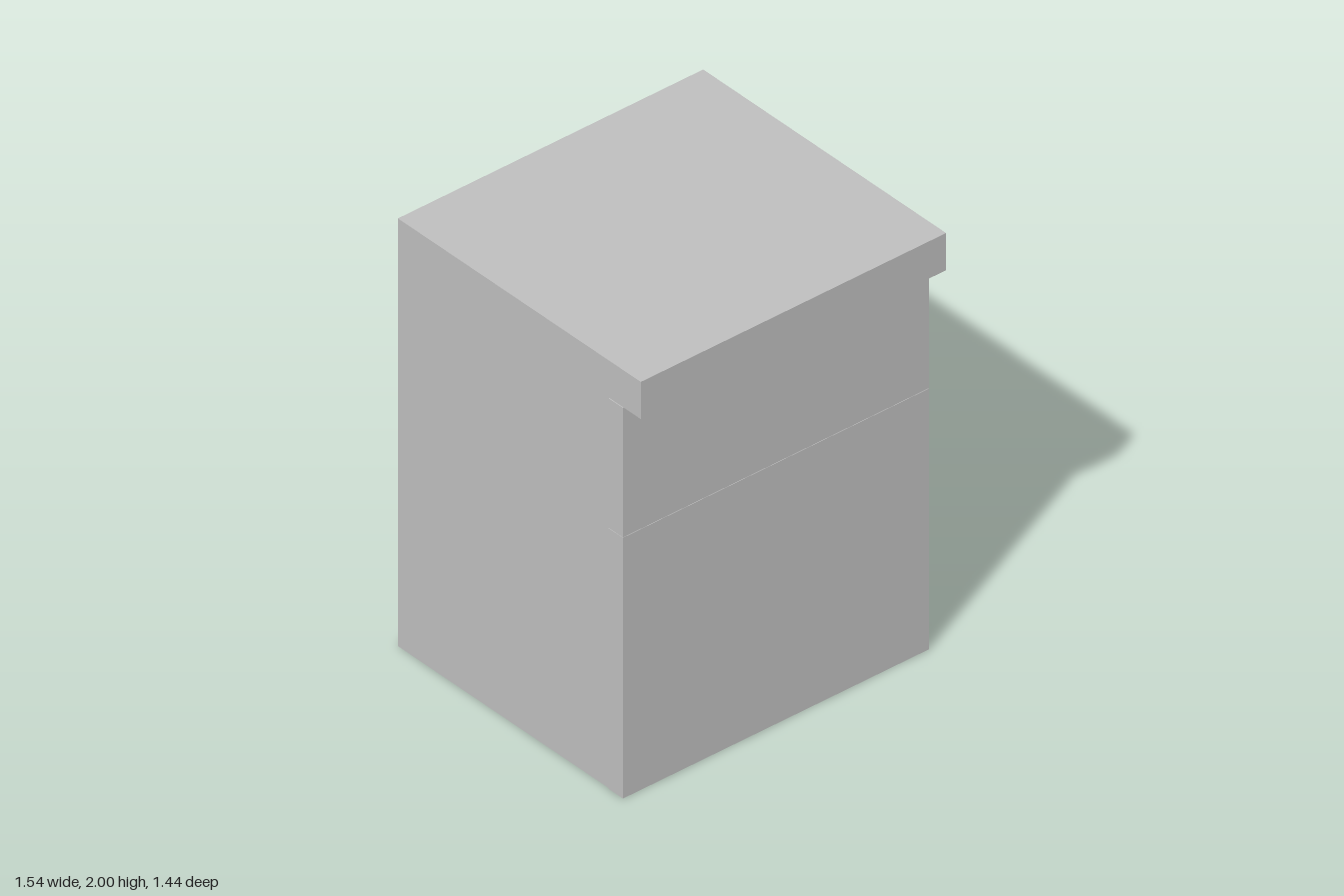
import * as THREE from 'three';

const grey = new THREE.MeshStandardMaterial({ color: 0xbebebe });
grey.name = 'plain grey';

export function createModel() {
  const cabinet = new THREE.Group();
  cabinet.name = 'cabinet';

  // Adds a box given its lower and upper limits on each axis.
  function panel(name, [x0, x1], [y0, y1], [z0, z1]) {
    const mesh = new THREE.Mesh(new THREE.BoxGeometry(x1 - x0, y1 - y0, z1 - z0), grey);
    mesh.position.set((x0 + x1) / 2, (y0 + y1) / 2, (z0 + z1) / 2);
    mesh.name = name;
    cabinet.add(mesh);
  }

  const topBase = 1.826, split = 1.22, gap = 0.001;
  const frontX = [-0.772, 0.768], frontZ = [0.533, 0.618];

  // Carcass, with a back board standing very slightly proud
  panel('carcass', [-0.768, 0.764], [0, topBase], [-0.717, 0.533]);
  panel('backBoard', [-0.73, 0.73], [0.07, 1.8], [-0.719, -0.7]);

  // Door below, drawer above, separated by a hairline gap
  panel('doorFront', frontX, [0, split - gap], frontZ);
  panel('drawerFront', frontX, [split + gap, topBase], frontZ);

  // Worktop overhanging the front
  panel('worktop', [-0.768, 0.768], [topBase, 2], [-0.717, 0.719]);

  return cabinet;
}
